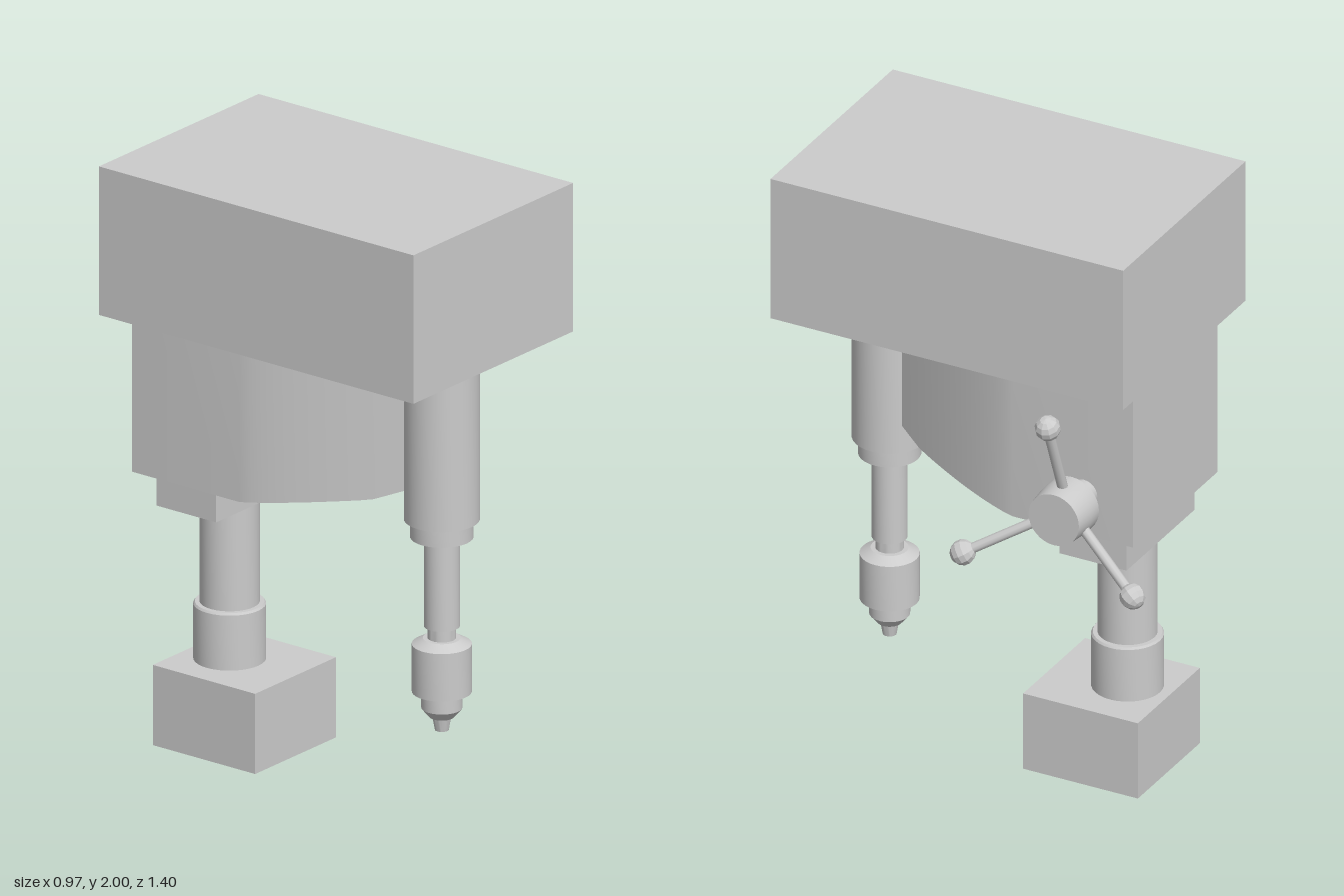
import * as THREE from 'three';
import { toCreasedNormals } from 'three/addons/utils/BufferGeometryUtils.js';

const grey = new THREE.MeshStandardMaterial({ color: 0xcccccc });
const greyDouble = new THREE.MeshStandardMaterial({ color: 0xcccccc, side: THREE.DoubleSide });
const greyFlat = new THREE.MeshStandardMaterial({ color: 0xcccccc, flatShading: true });
const AXIS_X = -0.08;

export function createModel() {
  const model = new THREE.Group();
  model.name = 'drillPress';

  const add = (name, geometry, x = 0, y = 0, z = 0, material = grey, parent = model) => {
    const mesh = new THREE.Mesh(geometry, material);
    mesh.name = name;
    mesh.position.set(x, y, z);
    parent.add(mesh);
    return mesh;
  };

  // Turned part from [radius, height] pairs, bottom to top
  const turned = (profile, segments = 32) => toCreasedNormals(
    new THREE.LatheGeometry(profile.map(([r, y]) => new THREE.Vector2(r, y)), segments), 0.5);

  // Box with an open underside: four walls and a ceiling
  const cover = (name, [x0, x1], [y0, y1], [z0, z1], wall, ceiling) => {
    const group = new THREE.Group();
    group.name = name;
    const w = x1 - x0, d = z1 - z0, cx = (x0 + x1) / 2, cz = (z0 + z1) / 2;
    const shape = new THREE.Shape([[-w, -d], [w, -d], [w, d], [-w, d]]
      .map(([a, b]) => new THREE.Vector2(a / 2, b / 2)));
    const a = w / 2 - wall, b = d / 2 - wall;
    shape.holes.push(new THREE.Path([[-a, -b], [-a, b], [a, b], [a, -b]]
      .map(([u, v]) => new THREE.Vector2(u, v))));
    const walls = new THREE.ExtrudeGeometry(shape, { depth: ceiling - y0, bevelEnabled: false });
    walls.rotateX(-Math.PI / 2);
    add(name + 'Walls', walls, cx, y0, cz, grey, group);
    add(name + 'Top', new THREE.BoxGeometry(w, y1 - ceiling, d), cx, (y1 + ceiling) / 2, cz, grey, group);
    model.add(group);
  };

  cover('headCover', [-0.49, 0.32], [1.5, 2], [-0.56, 0.7], 0.02, 1.58);
  cover('base', [-0.28, 0.13], [0, 0.27], [-0.51, -0.1], 0.006, 0.262);

  // Head body: rectangular sections along z, narrowing and rising to the front
  add('headBody', bodyGeometry(), AXIS_X);

  // Column, its sleeve and the bracket under the body
  add('column', turned([[0.095, 0.4], [0.095, 0.85]]), AXIS_X, 0, -0.36);
  add('columnSleeve', turned([[0.115, 0.265], [0.115, 0.455], [0.11, 0.462], [0.09, 0.462]]),
    AXIS_X, 0, -0.36);
  add('columnBracket', new THREE.BoxGeometry(0.45, 0.125, 0.24), -0.075, 0.8825, -0.36);

  // Quill housing, spindle and chuck
  add('quillHousing', turned([[0, 0.88], [0.1, 0.88], [0.1, 0.94], [0.12, 0.94], [0.12, 1.59]]),
    AXIS_X, 0, 0.49);
  add('spindle', turned([[0.045, 0.52], [0.045, 0.58], [0.057, 0.58], [0.057, 0.89]]),
    AXIS_X, 0, 0.49);
  add('chuck', turned([[0, 0.23], [0.022, 0.23], [0.03, 0.275], [0.04, 0.275], [0.065, 0.305],
    [0.065, 0.36], [0.095, 0.36], [0.095, 0.52], [0.06, 0.54], [0, 0.54]]), AXIS_X, 0, 0.49);

  // Feed handle: shaft, hub and three knobbed arms around the x axis
  const handle = new THREE.Group();
  handle.name = 'feedHandle';
  handle.position.set(0, 1.09, -0.355);
  model.add(handle);
  const alongX = g => g.rotateZ(-Math.PI / 2);
  add('feedShaft', alongX(turned([[0.048, 0.17], [0.048, 0.3]], 24)), 0, 0, 0, grey, handle);
  add('feedHub', alongX(turned([[0, 0.28], [0.097, 0.28], [0.097, 0.33], [0.09, 0.4], [0, 0.4]])),
    0, 0, 0, grey, handle);
  const start = new THREE.Vector3(0.325, 0.05, 0), end = new THREE.Vector3(0.44, 0.35, 0);
  const lean = -Math.atan2(end.x - start.x, end.y - start.y);
  const middle = start.clone().add(end).multiplyScalar(0.5);
  for (let i = 0; i < 3; i++) {
    const arm = new THREE.Group();
    arm.name = 'handleArm' + (i + 1);
    arm.rotation.x = i * Math.PI * 2 / 3;
    handle.add(arm);
    add('rod', new THREE.CylinderGeometry(0.017, 0.017, start.distanceTo(end), 10),
      middle.x, middle.y, 0, grey, arm).rotation.z = lean;
    add('knob', new THREE.SphereGeometry(0.042, 10, 7), end.x, end.y, 0, greyFlat, arm)
      .rotation.z = lean;
  }
  return model;
}

function bodyGeometry() {
  const top = 1.585, steps = 14, positions = [];
  const sections = [-0.53];
  for (let i = 0; i <= steps; i++) sections.push(-0.1 + 0.53 * i / steps);
  const rings = sections.map(z => {
    const t = Math.max(0, (z + 0.1) / 0.43);
    const w = 0.28 - 0.16 * Math.pow(t, 1.4);
    const bottom = 0.94 + 0.06 * Math.min(1, t / 0.95) + 0.4 * Math.max(0, z - 0.31);
    return [[-w, bottom, z], [w, bottom, z], [w, top, z], [-w, top, z]];
  });
  const quad = (a, b, c, d) => positions.push(...a, ...b, ...c, ...a, ...c, ...d);
  for (let i = 0; i < rings.length - 1; i++) {
    const back = rings[i], front = rings[i + 1];
    for (let k = 0; k < 4; k++) {
      const n = (k + 1) % 4;
      quad(back[k], back[n], front[n], front[k]);
    }
  }
  // End caps
  const [p, q, r, s] = rings[0];
  quad(q, p, s, r);
  quad(...rings[rings.length - 1]);
  const geometry = new THREE.BufferGeometry();
  geometry.setAttribute('position', new THREE.Float32BufferAttribute(positions, 3));
  return toCreasedNormals(geometry, 0.5);
}
